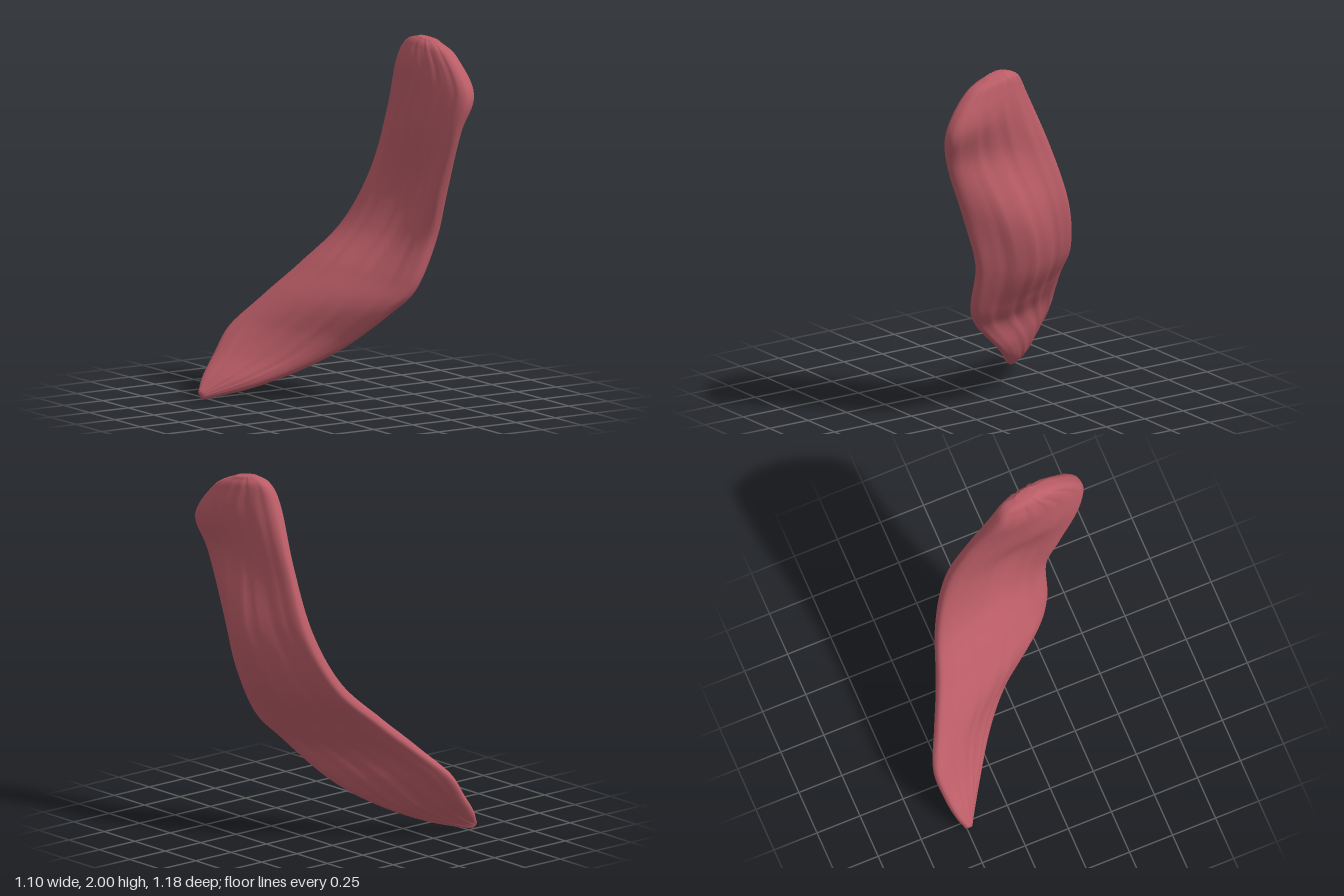
import * as THREE from 'three';

// Stations from top to lower tip: back edge xyz, front edge xyz, bow towards +x, half thickness
const STATIONS = [
  [0.415, 2.0, 0.19, 0.445, 1.985, 0.31, 0, 0.03],
  [0.4, 1.965, 0.1, 0.46, 1.91, 0.455, 0, 0.06],
  [0.385, 1.85, 0.035, 0.48, 1.72, 0.587, 0, 0.08],
  [0.41, 1.55, -0.1, 0.425, 1.52, 0.552, -0.01, 0.062],
  [0.395, 1.2, -0.235, 0.41, 1.2, 0.435, 0.07, 0.075],
  [0.265, 0.9, -0.34, 0.405, 0.92, 0.35, 0.05, 0.072],
  [0.05, 0.69, -0.425, 0.31, 0.66, 0.315, 0.02, 0.066],
  [-0.13, 0.525, -0.51, 0.215, 0.52, 0.225, 0.01, 0.06],
  [-0.295, 0.37, -0.583, 0.095, 0.325, 0.005, 0.01, 0.054],
  [-0.41, 0.22, -0.57, -0.065, 0.19, -0.165, 0.01, 0.048],
  [-0.5, 0.115, -0.54, -0.3, 0.075, -0.335, 0, 0.038],
  [-0.55, 0.045, -0.505, -0.53, 0.008, -0.48, 0, 0.02],
];
const ROWS = 110, SIDES = 72;

const curveOf = (pick) => new THREE.CatmullRomCurve3(
  STATIONS.map((s) => new THREE.Vector3(...pick(s))), false, 'catmullrom', 0.5);

// Loft of flattened sections with blunt rims and shallow lengthwise fibre grooves
function stripGeometry() {
  const back = curveOf((s) => s.slice(0, 3));
  const front = curveOf((s) => s.slice(3, 6));
  const shape = curveOf((s) => [s[6], s[7], 0]);
  const pos = [], index = [];

  for (let i = 0; i <= ROWS; i++) {
    const t = i / ROWS;
    const b = back.getPoint(t), f = front.getPoint(t), { x: bow, y: half } = shape.getPoint(t);
    const along = back.getTangent(t).add(front.getTangent(t)).normalize();
    const out = f.clone().sub(b).cross(along).normalize();
    for (let j = 0; j < SIDES; j++) {
      const a = (j / SIDES) * Math.PI * 2, s = Math.sin(a);
      const u = (1 - Math.cos(a)) / 2;
      const groove = 1 + Math.abs(s) * (0.05 * Math.sin(u * 34 + t * 5) + 0.04 * Math.sin(u * 57 - t * 8));
      // The bow peaks a little nearer the front rim
      const offset = bow * 28.9 * u ** 3 * (1 - u) ** 2 + half * groove * Math.sign(s) * Math.abs(s) ** 0.65;
      const p = b.clone().lerp(f, u).addScaledVector(out, offset);
      pos.push(p.x, Math.max(0, p.y), p.z);
    }
  }
  for (let i = 0; i < ROWS; i++) {
    for (let j = 0; j < SIDES; j++) {
      const k = (j + 1) % SIDES, r = i * SIDES, n = r + SIDES;
      index.push(r + j, r + k, n + j, r + k, n + k, n + j);
    }
  }
  // Closed ends
  const addCap = (row, flip) => {
    const t = row / ROWS, c = back.getPoint(t).lerp(front.getPoint(t), 0.5);
    const centre = pos.length / 3;
    pos.push(c.x, c.y, c.z);
    for (let j = 0; j < SIDES; j++) {
      const p = row * SIDES + j, q = row * SIDES + ((j + 1) % SIDES);
      index.push(centre, flip ? q : p, flip ? p : q);
    }
  };
  addCap(0, true);
  addCap(ROWS, false);

  const geometry = new THREE.BufferGeometry();
  geometry.setAttribute('position', new THREE.Float32BufferAttribute(pos, 3));
  geometry.setIndex(index);
  geometry.computeVertexNormals();
  return geometry;
}

export function createModel() {
  const group = new THREE.Group();
  group.name = 'muscle';
  const muscleRed = new THREE.MeshStandardMaterial({ color: 0xbb5d67 });
  muscleRed.name = 'muscle red';
  const strip = new THREE.Mesh(stripGeometry(), muscleRed);
  strip.name = 'muscleStrip';
  group.add(strip);
  return group;
}
